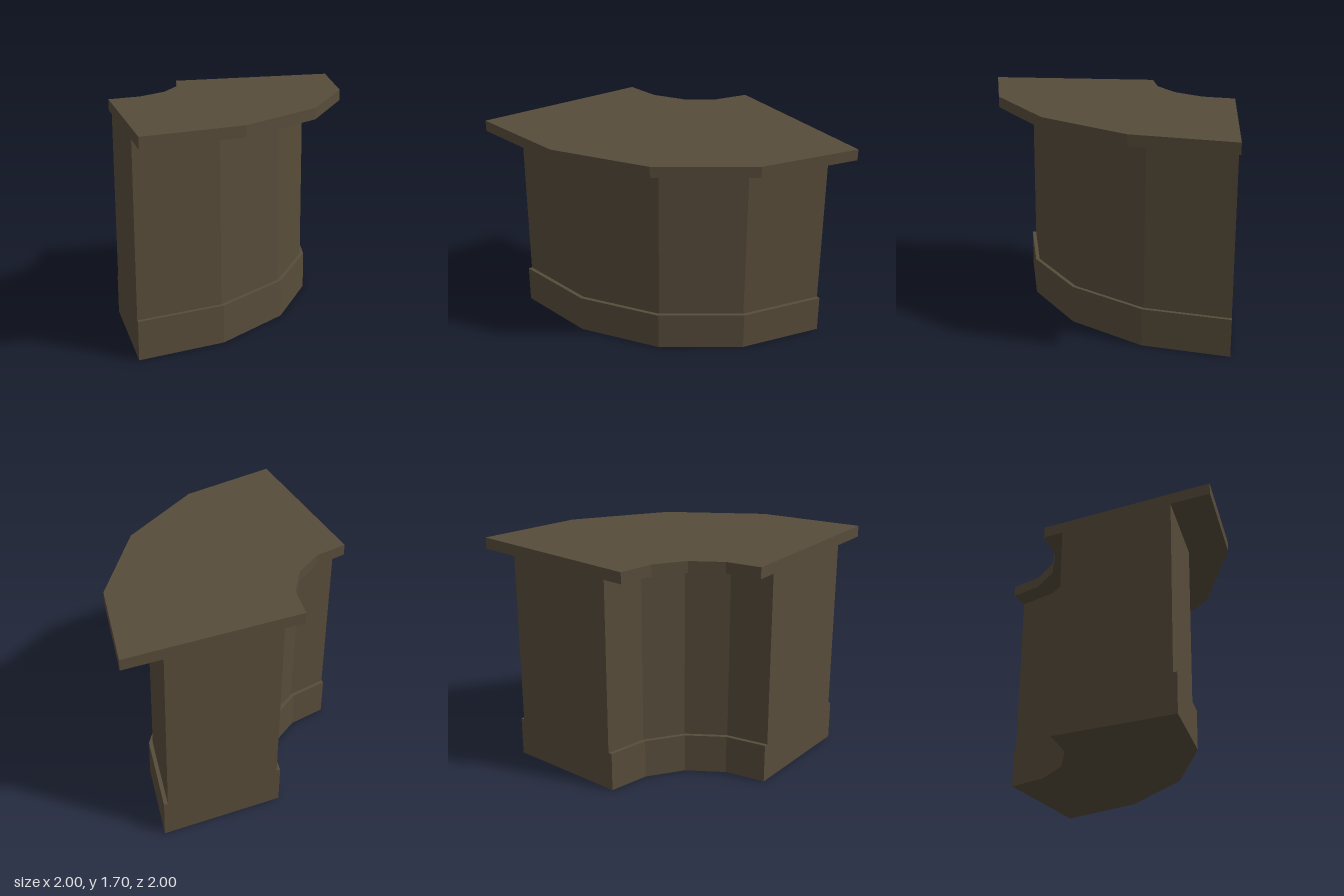
import * as THREE from 'three';

const SEGMENTS = 4;
const CORNER = -1; // x and z of the point the quarter rings turn around

// Solid faceted quarter ring between two radii and two heights
function quarterRing(inner, outer, bottom, top) {
  const points = [];
  const addArc = (radius, from, to) => {
    for (let i = 0; i <= SEGMENTS; i++) {
      const a = (from + ((to - from) * i) / SEGMENTS) * (Math.PI / 2);
      points.push(new THREE.Vector2(CORNER + radius * Math.cos(a), CORNER + radius * Math.sin(a)));
    }
  };
  addArc(outer, 0, 1);
  addArc(inner, 1, 0);
  const geometry = new THREE.ExtrudeGeometry(new THREE.Shape(points), {
    depth: top - bottom,
    bevelEnabled: false,
  });
  // Lay the outline flat: outline y becomes z, depth runs downward
  geometry.rotateX(Math.PI / 2);
  geometry.translate(0, top, 0);
  return geometry;
}

export function createModel() {
  const group = new THREE.Group();
  group.name = 'cornerCounter';

  const wood = new THREE.MeshStandardMaterial({ color: 0x574c3a, flatShading: true });
  wood.name = 'darkWood';

  // name, inner radius, outer radius, bottom, top
  const parts = [
    ['plinth', 0.795, 1.73, 0, 0.297],
    ['cabinetBody', 0.825, 1.7, 0.297, 1.615],
    ['counterTop', 0.67, 2, 1.615, 1.7],
  ];
  for (const [name, ...size] of parts) {
    const mesh = new THREE.Mesh(quarterRing(...size), wood);
    mesh.name = name;
    group.add(mesh);
  }
  return group;
}
